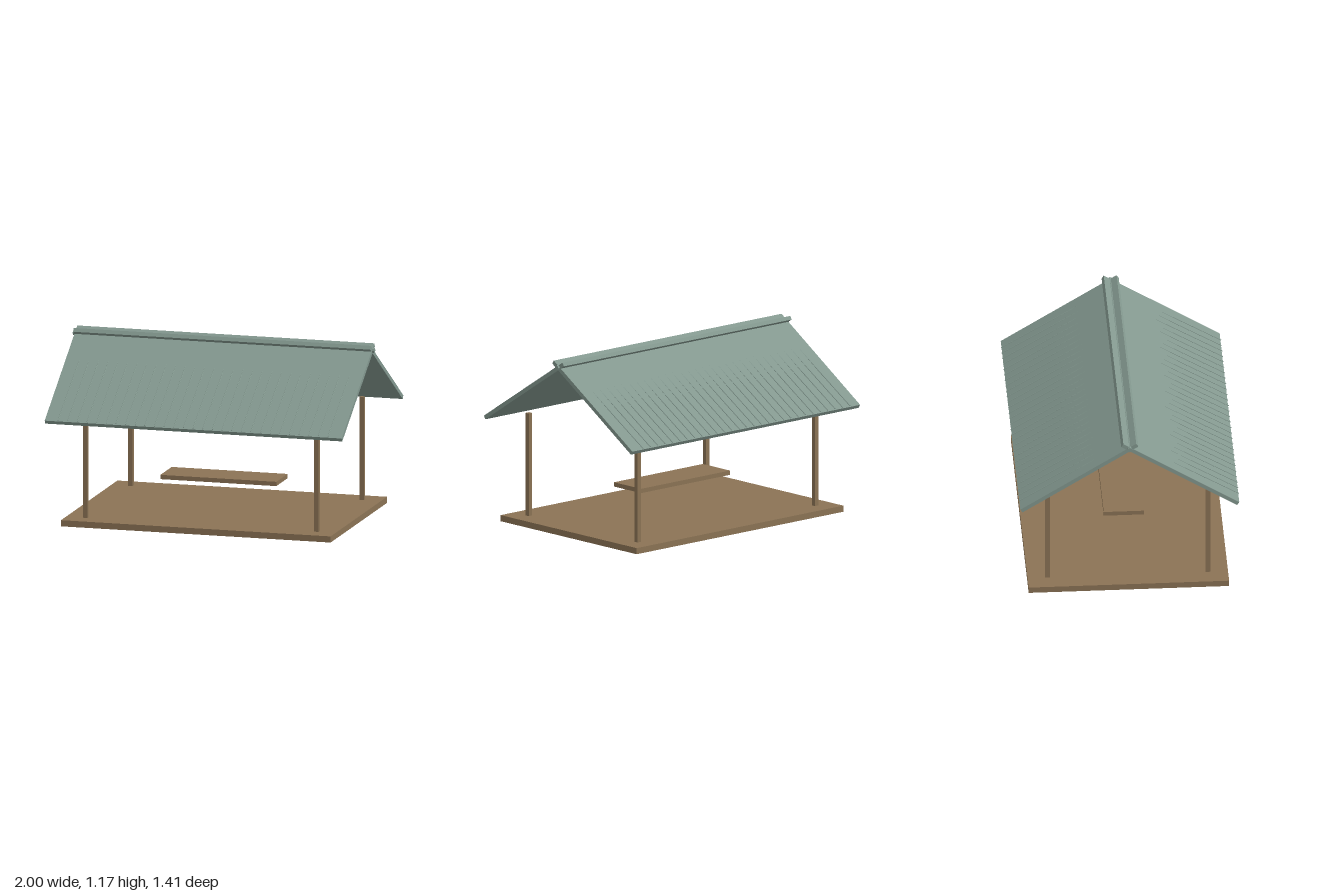
import * as THREE from 'three';

export function createModel() {
  const model = new THREE.Group();
  model.name = 'openPavilion';

  const wood = new THREE.MeshStandardMaterial({ color: 0x8b7355 });
  wood.name = 'wood';
  const roof = new THREE.MeshStandardMaterial({ color: 0x83988f, flatShading: true });
  roof.name = 'roofGreen';

  function add(name, geometry, material, x, y, z) {
    const mesh = new THREE.Mesh(geometry, material);
    mesh.name = name;
    mesh.position.set(x, y, z);
    model.add(mesh);
    return mesh;
  }

  // Floor and the low table slab above it
  add('floor', new THREE.BoxGeometry(1.79, 0.04, 1.28), wood, 0, 0.02, 0);
  add('table', new THREE.BoxGeometry(0.77, 0.028, 0.256), wood, 0, 0.248, 0);

  // Corner posts
  const postGeometry = new THREE.BoxGeometry(0.03, 0.67, 0.03);
  for (const x of [-0.768, 0.768])
    for (const z of [-0.512, 0.512]) add('post', postGeometry, wood, x, 0.375, z);

  // Ridge pole
  const ridge = add('ridgePole', new THREE.CylinderGeometry(0.016, 0.016, 2, 8), roof, 0, 1.127, 0);
  ridge.rotation.z = Math.PI / 2;

  // Two roof slopes that cross at the ridge, each with thin ribs
  const panelGeometry = new THREE.BoxGeometry(1.972, 0.026, 0.877);
  const panelTilt = Math.atan(0.636);
  const ribTilt = Math.atan(0.608);
  const ribRun = 0.6;
  const ribGeometry = new THREE.CylinderGeometry(0.003, 0.003, ribRun / Math.cos(ribTilt), 6);
  ribGeometry.rotateX(Math.PI / 2);

  for (const side of [1, -1]) {
    const panel = add('roofPanel', panelGeometry, roof, 0, 0.919, side * 0.322);
    panel.rotation.x = side * panelTilt;

    for (let i = 0; i < 29; i++) {
      const x = -0.896 + i * 0.064;
      const rib = add('roofRib', ribGeometry, roof, x, 0.703 + 0.608 * ribRun / 2, side * (0.702 - ribRun / 2));
      rib.rotation.x = side * ribTilt;
    }
  }

  return model;
}
